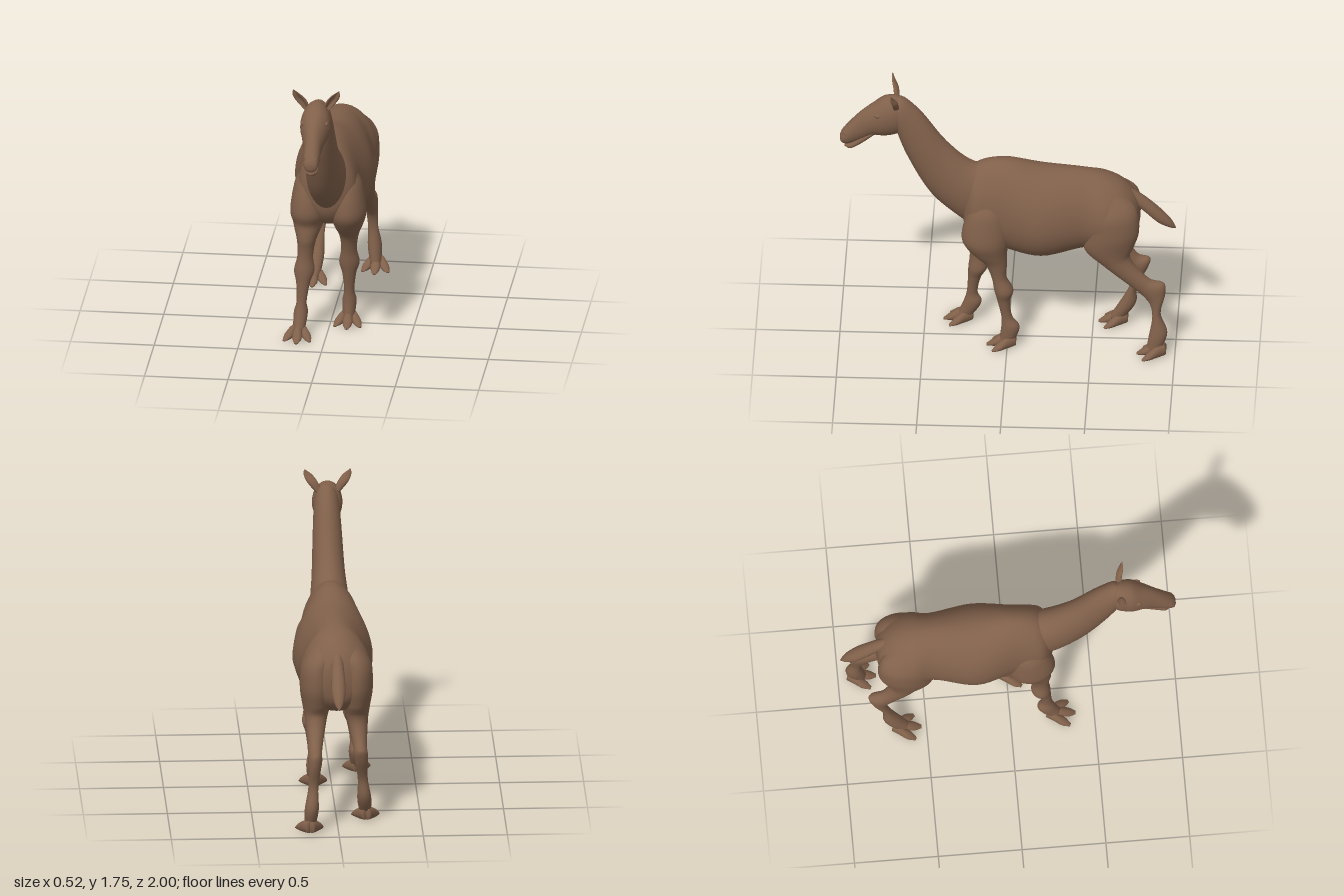
import * as THREE from 'three';

const hide = new THREE.MeshStandardMaterial({ color: 0x80604a });
hide.name = 'brown hide';

const HEAD_X = -0.008;
const { smoothstep } = THREE.MathUtils;

// Section shorthands: every section is an oval [z1, y1, z2, y2, halfWidth]
const upright = ([z, top, bottom, w]) => [z, top, z, bottom, w];
const level = ([y, front, back, w]) => [front, y, back, y, w];

// Smooth skin over oval sections, each spanning point 1 to point 2 in the side plane.
// x and swing move a section by its height; taper narrows the point-1 side, dent hollows it.
function loft(name, rows, { x = () => 0, swing = () => 0, taper = 0, dent = 0, steps = 6, n = 28 } = {}) {
  const curve = (f) => new THREE.CatmullRomCurve3(rows.map(f));
  const c1 = curve((r) => new THREE.Vector3(0, r[1], r[0]));
  const c2 = curve((r) => new THREE.Vector3(0, r[3], r[2]));
  const cw = curve((r, i) => new THREE.Vector3(r[4], i * 0.05, 0));
  const count = (rows.length - 1) * steps;
  const pos = [], idx = [], mids = [];
  let turn = 0;
  for (let i = 0; i <= count; i++) {
    const a = c1.getPoint(i / count), b = c2.getPoint(i / count), w = cw.getPoint(i / count).x;
    const mid = a.clone().add(b).multiplyScalar(0.5);
    const half = a.sub(b).multiplyScalar(0.5);
    mid.x = x(mid.y);
    mid.z += swing(mid.y);
    if (i) {
      const d = mid.clone().sub(mids[i - 1]);
      turn += half.y * d.z - half.z * d.y;
    }
    mids.push(mid);
    for (let j = 0; j < n; j++) {
      const ang = (j / n) * Math.PI * 2, s = Math.sin(ang);
      const k = s * (1 - dent * Math.max(0, s) ** 4);
      pos.push(mid.x + w * Math.cos(ang) * (1 - taper * s), mid.y + half.y * k, mid.z + half.z * k);
    }
  }
  const tri = (a, b, c) => (turn > 0 ? idx.push(a, b, c) : idx.push(a, c, b));
  for (let i = 0; i < count; i++) {
    for (let j = 0; j < n; j++) {
      const a = i * n + j, b = i * n + ((j + 1) % n);
      tri(a, b, b + n);
      tri(a, b + n, a + n);
    }
  }
  // end caps
  const start = pos.length / 3, last = count * n;
  pos.push(...mids[0].toArray(), ...mids[count].toArray());
  for (let j = 0; j < n; j++) {
    const k = (j + 1) % n;
    tri(start, k, j);
    tri(start + 1, last + j, last + k);
  }
  const g = new THREE.BufferGeometry();
  g.setAttribute('position', new THREE.Float32BufferAttribute(pos, 3));
  g.setIndex(idx);
  g.computeVertexNormals();
  const m = new THREE.Mesh(g, hide);
  m.name = name;
  return m;
}

// Body: z, top, bottom, half width
const TORSO = [
  [-0.787, 0.93, 0.86, 0.03], [-0.765, 1.02, 0.76, 0.115], [-0.69, 1.11, 0.69, 0.19], [-0.58, 1.165, 0.68, 0.212],
  [-0.46, 1.19, 0.675, 0.19], [-0.2, 1.21, 0.615, 0.234], [0.03, 1.255, 0.655, 0.185],
  [0.19, 1.21, 0.705, 0.17], [0.25, 1.1, 0.78, 0.11], [0.27, 0.98, 0.86, 0.04]].map(upright);
const HEAD = [
  [0.625, 1.62, 1.5, 0.04], [0.645, 1.67, 1.43, 0.078], [0.73, 1.668, 1.405, 0.091], [0.8, 1.62, 1.405, 0.075],
  [0.88, 1.555, 1.365, 0.054], [0.955, 1.47, 1.336, 0.047], [0.99, 1.42, 1.345, 0.037], [1.0, 1.395, 1.365, 0.015]].map(upright);
const JAW = [
  [0.8, 1.46, 1.405, 0.05], [0.88, 1.4, 1.338, 0.042], [0.94, 1.35, 1.306, 0.036], [0.972, 1.333, 1.316, 0.013]].map(upright);
const TAIL = [
  [-0.7, 1.09, 1.0, 0.03], [-0.8, 1.02, 0.92, 0.038], [-0.9, 0.93, 0.83, 0.042],
  [-0.97, 0.852, 0.797, 0.025], [-1.0, 0.797, 0.79, 0.003]].map(upright);
const TOE = [
  [-0.04, 0.09, 0.01, 0.022], [0.02, 0.085, 0.003, 0.026], [0.08, 0.052, 0.001, 0.03], [0.13, 0.012, 0.001, 0.012]].map(upright);
// Neck: nape point, throat point, half width
const NECK = [
  [0.06, 1.21, 0.2, 0.78, 0.11], [0.2, 1.22, 0.3, 0.86, 0.118], [0.36, 1.355, 0.45, 1.0, 0.1],
  [0.53, 1.585, 0.6, 1.27, 0.085], [0.63, 1.672, 0.67, 1.46, 0.072], [0.67, 1.67, 0.7, 1.55, 0.03]];

// Ear and front leg: height, front, back, half width
const EAR = [[1.62, 0.69, 0.645, 0.02], [1.68, 0.695, 0.655, 0.032], [1.72, 0.7, 0.678, 0.025], [1.75, 0.697, 0.69, 0.004]].map(level);
const FRONT_LEG = [
  [1.12, 0.16, 0.06, 0.04], [0.98, 0.22, 0.01, 0.075], [0.84, 0.265, -0.01, 0.102], [0.75, 0.267, -0.01, 0.108],
  [0.67, 0.215, 0, 0.085], [0.59, 0.135, 0, 0.057], [0.49, 0.093, 0.003, 0.047], [0.4, 0.077, -0.037, 0.061],
  [0.33, 0.06, -0.02, 0.042], [0.21, 0.035, -0.03, 0.03], [0.14, 0.035, -0.073, 0.042], [0.03, 0.05, -0.04, 0.034]].map(level);
// Hind leg: front point, back point, half width
const HIND_LEG = [
  [-0.5, 1.12, -0.68, 1.08, 0.05], [-0.46, 0.98, -0.765, 1.0, 0.09], [-0.455, 0.82, -0.785, 0.84, 0.1],
  [-0.46, 0.71, -0.755, 0.73, 0.086], [-0.56, 0.61, -0.73, 0.66, 0.066], [-0.75, 0.45, -0.85, 0.51, 0.042],
  [-0.815, 0.39, -0.935, 0.485, 0.042], [-0.85, 0.34, -0.942, 0.42, 0.036], [-0.865, 0.26, -0.915, 0.28, 0.03],
  [-0.845, 0.13, -0.955, 0.155, 0.042], [-0.83, 0.04, -0.915, 0.03, 0.033]];

// One leg with its three-toed foot. Below the body it leans forward by stride
// from the pivot height and outward by splay.
function leg(name, rows, { side, splay, stride, pivot, footZ }) {
  const x = (y) => side * (0.118 - 0.3 * Math.max(0, y - 0.95) + splay * Math.max(0, 0.7 - y));
  const swing = (y) => stride * (pivot - y) * smoothstep(-y, -0.72, -0.58);
  const limb = new THREE.Group();
  limb.name = name;
  const foot = new THREE.Group();
  foot.name = 'foot';
  foot.position.set(x(0), 0, footZ + swing(0.03));
  for (const s of [-1, 0, 1]) {
    const toe = loft('toe', TOE, { n: 16 });
    toe.position.set(s * 0.024, 0, s ? -0.015 : 0);
    toe.rotation.y = s * 0.48;
    toe.scale.setScalar(s ? 0.87 : 0.95);
    foot.add(toe);
  }
  limb.add(loft('limb', rows, { x, swing }), foot);
  return limb;
}

export function createModel() {
  const model = new THREE.Group();
  model.name = 'longNeckedGrazer';
  const x = () => HEAD_X;
  model.add(
    loft('torso', TORSO, { taper: 0.13, n: 40 }),
    loft('neck', NECK),
    loft('head', HEAD, { x }),
    loft('lowerJaw', JAW, { x }),
    loft('tail', TAIL),
    leg('leftFrontLeg', FRONT_LEG, { side: 1, splay: -0.015, stride: 0, pivot: 1, footZ: 0 }),
    leg('rightFrontLeg', FRONT_LEG, { side: -1, splay: 0.065, stride: 0.275, pivot: 1, footZ: 0 }),
    leg('leftHindLeg', HIND_LEG, { side: 1, splay: 0.075, stride: 0, pivot: 0.7, footZ: -0.895 }),
    leg('rightHindLeg', HIND_LEG, { side: -1, splay: 0.08, stride: 0.36, pivot: 0.7, footZ: -0.895 }),
  );
  // Ears, eyelids and nostril rims
  const ball = new THREE.SphereGeometry(1, 16, 12);
  const rim = new THREE.TorusGeometry(0.009, 0.004, 8, 14);
  for (const s of [-1, 1]) {
    const ear = loft('ear', EAR, { x: (y) => HEAD_X + s * (0.055 + 0.62 * (y - 1.62)), dent: 1.3 });
    const lid = new THREE.Mesh(ball, hide);
    lid.name = 'eyelid';
    lid.position.set(HEAD_X + s * 0.071, 1.572, 0.77);
    lid.scale.set(0.012, 0.013, 0.024);
    const nostril = new THREE.Mesh(rim, hide);
    nostril.name = 'nostril';
    nostril.position.set(HEAD_X + s * 0.036, 1.415, 0.972);
    nostril.rotation.y = s;
    model.add(ear, lid, nostril);
  }
  return model;
}
